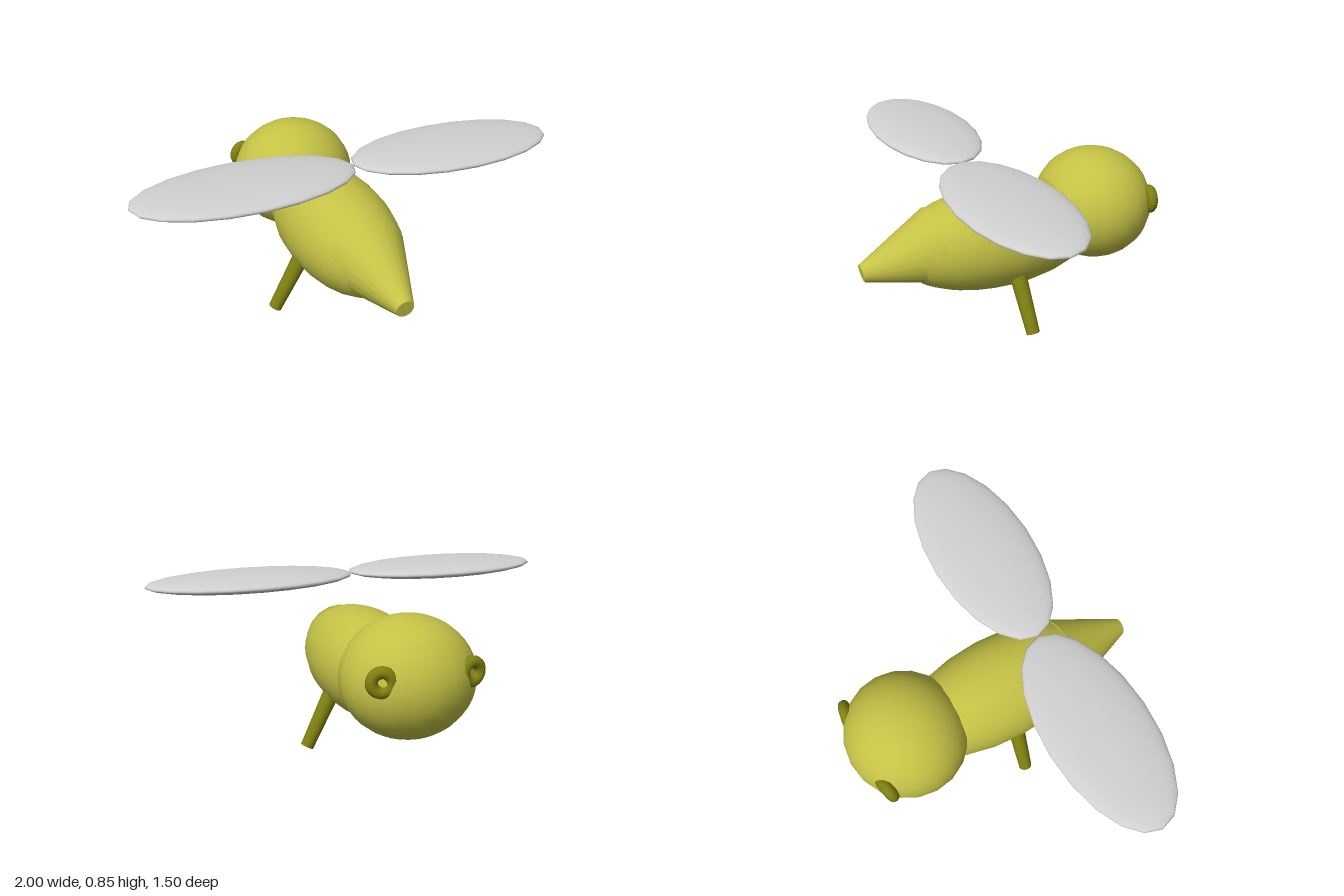
import * as THREE from 'three';

const material = (name, color) => {
  const m = new THREE.MeshStandardMaterial({ color });
  m.name = name;
  return m;
};

export function createModel() {
  const group = new THREE.Group();
  const yellow = material('mustard yellow', 0xc4c245);
  const olive = material('dark olive', 0x808010);
  const grey = material('pale grey', 0xd0d0d0);

  const add = (name, geometry, mat, x = 0, y = 0, z = 0) => {
    const mesh = new THREE.Mesh(geometry, mat);
    mesh.name = name;
    mesh.position.set(x, y, z);
    group.add(mesh);
    return mesh;
  };

  const ellipsoid = (name, mat, center, radii) => {
    const geometry = new THREE.SphereGeometry(1, 20, 20).scale(...radii);
    return add(name, geometry, mat, ...center);
  };

  // Tapered rod between two points
  const rod = (name, mat, from, to, rFrom, rTo) => {
    const a = new THREE.Vector3(...from);
    const b = new THREE.Vector3(...to);
    const axis = b.clone().sub(a);
    const mesh = add(name, new THREE.CylinderGeometry(rTo, rFrom, axis.length(), 20), mat);
    mesh.position.copy(a).add(b).multiplyScalar(0.5);
    mesh.quaternion.setFromUnitVectors(new THREE.Vector3(0, 1, 0), axis.normalize());
    return mesh;
  };

  // Head, body and tapered tail
  ellipsoid('head', yellow, [0, 0.485, -0.46], [0.305, 0.275, 0.29]);
  ellipsoid('body', yellow, [0, 0.415, 0.05], [0.25, 0.255, 0.535]);
  rod('tail', yellow, [0, 0.427, 0.38], [0, 0.365, 0.745], 0.19, 0.042);

  // Mirrored wings, legs and ring eyes
  for (const [side, s] of [['left', 1], ['right', -1]]) {
    ellipsoid(side + 'Wing', grey, [s * 0.5, 0.815, 0.24], [0.5, 0.041, 0.24]);
    rod(side + 'Leg', olive, [s * 0.31, 0.018, 0.025], [s * 0.135, 0.35, 0.045], 0.032, 0.043);
    const eye = add(side + 'Eye', new THREE.TorusGeometry(0.043, 0.027, 12, 24), olive,
      s * 0.205, 0.54, -0.66);
    eye.rotation.y = -0.22 * s;
  }
  return group;
}
